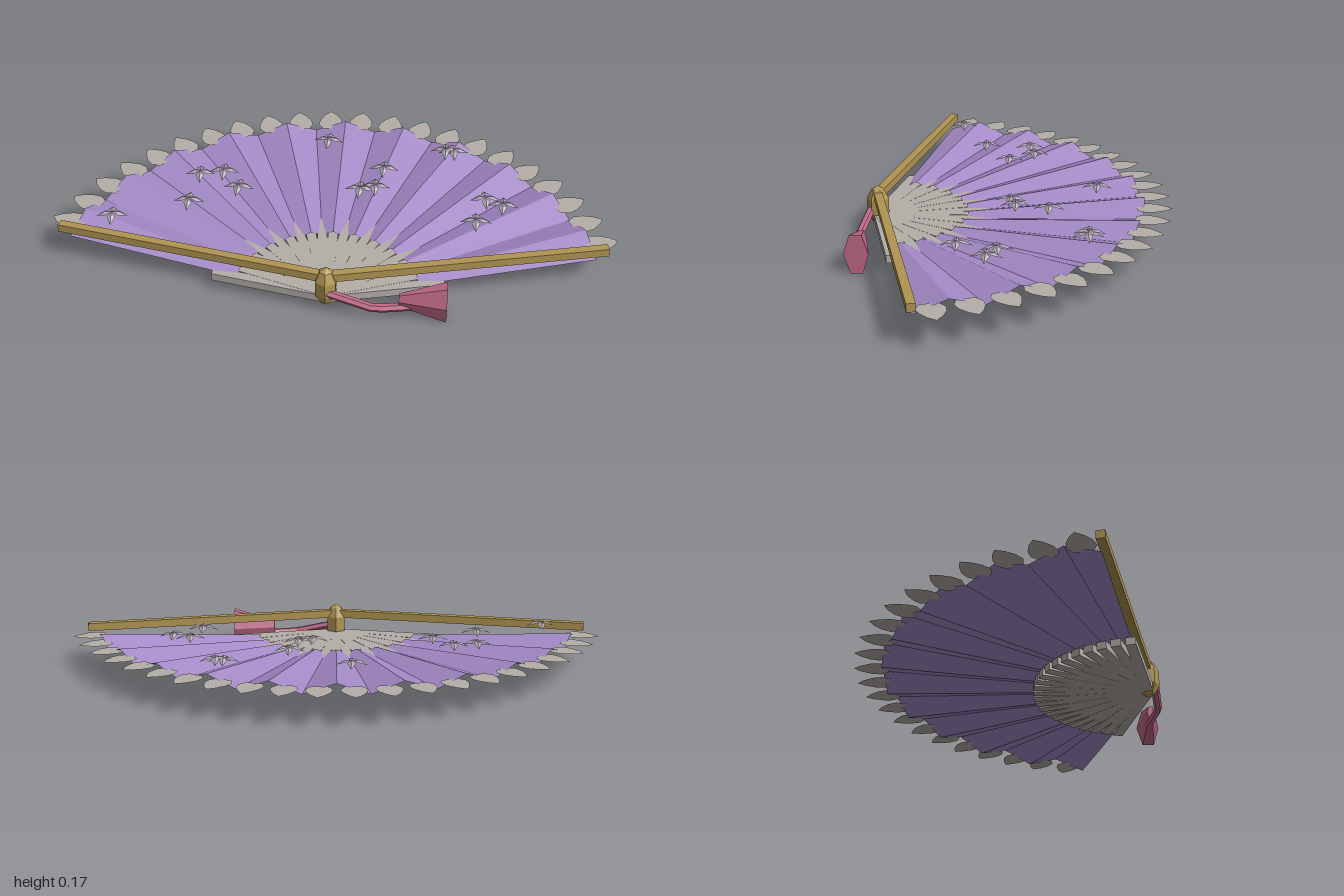
import * as THREE from 'three';

const HALF = THREE.MathUtils.degToRad(77.5); // half of the opening angle
const FOLDS = 22;
const STEP = (2 * HALF) / FOLDS;
const PIVOT_Z = 0.5;

const paint = (name, color) =>
  new THREE.MeshStandardMaterial({ name, color, flatShading: true, side: THREE.DoubleSide });

const facets = (points) => {
  const g = new THREE.BufferGeometry();
  g.setAttribute('position', new THREE.Float32BufferAttribute(points.flat(), 3));
  g.computeVertexNormals();
  return g;
};

// Pleated leaf: low folds at both ends, high and low alternating between
function leafGeometry() {
  const point = (r, i) => {
    const a = -HALF + i * STEP;
    const t = (r - 0.33) / 0.64;
    const low = 0.06 + 0.034 * t;
    const rise = i % 2 ? 0.013 + 0.027 * t : 0;
    return [r * Math.sin(a), low + rise, -r * Math.cos(a)];
  };
  const tris = [];
  for (let i = 0; i < FOLDS; i++) {
    const a = point(0.33, i), b = point(0.33, i + 1);
    const c = point(0.97, i + 1), d = point(0.97, i);
    tris.push(...a, ...b, ...c, ...a, ...c, ...d);
  }
  return facets(tris);
}

// Flat pointed scallop for the rim
function scallopGeometry() {
  const side = [[0.03, 0.945], [0.048, 0.975], [0.043, 1.01], [0.024, 1.045]];
  const outline = [...side, [0, 1.07], ...side.map(([x, y]) => [-x, y]).reverse()];
  const shape = new THREE.Shape(outline.map(([x, y]) => new THREE.Vector2(x, y)));
  return new THREE.ShapeGeometry(shape).rotateX(-Math.PI / 2);
}

// Four drooping creased petals
function flowerGeometry() {
  const tris = [];
  for (let k = 0; k < 4; k++) {
    const turn = (u, y, v) => {
      const a = (k * Math.PI) / 2;
      return [u * Math.cos(a) + v * Math.sin(a), y, -u * Math.sin(a) + v * Math.cos(a)];
    };
    const centre = turn(0, 0.018, 0), tip = turn(0.056, 0, 0);
    const left = turn(0.022, 0.013, -0.015), right = turn(0.022, 0.013, 0.015);
    const mid = turn(0.026, 0.018, 0);
    tris.push(...centre, ...right, ...mid, ...right, ...tip, ...mid);
    tris.push(...centre, ...mid, ...left, ...left, ...mid, ...tip);
  }
  return facets(tris);
}

export function createModel() {
  const model = new THREE.Group();
  model.name = 'foldingFan';
  const lilac = paint('lilac', 0xa58bc8);
  const ivory = paint('ivory', 0xb4aea8);
  const silver = paint('silver', 0xaca5ae);
  const gold = paint('gold', 0xb09552);
  const pink = paint('pink', 0xc06a88);

  const add = (parent, name, geometry, material) => {
    const mesh = new THREE.Mesh(geometry, material);
    mesh.name = name;
    parent.add(mesh);
    return mesh;
  };

  // Spread part, slightly narrower in x than a true circle
  const spread = new THREE.Group();
  spread.name = 'spread';
  spread.position.z = PIVOT_Z;
  spread.scale.x = 0.967;
  model.add(spread);
  add(spread, 'leaf', leafGeometry(), lilac);

  // One stick below every fold
  const stick = new THREE.BoxGeometry(0.036, 0.028, 0.42).translate(0, 0, -0.21);
  for (let i = 0; i <= FOLDS; i++) {
    const mesh = add(spread, 'stick', stick, ivory);
    mesh.rotation.y = HALF - i * STEP;
    mesh.position.y = 0.051 + (i % 2) * 0.0006;
  }

  // One scallop on every pleat
  const scallop = scallopGeometry();
  for (let i = 0; i < FOLDS; i++) {
    const mesh = add(spread, 'scallop', scallop, ivory);
    mesh.rotation.y = HALF - (i + 0.5) * STEP;
    mesh.position.y = 0.115;
  }

  // Guard sticks
  for (const s of [-1, 1]) {
    const guard = add(model, 'guard',
      new THREE.BoxGeometry(0.975, 0.029, 0.03).translate(0.4875, 0, 0), gold);
    guard.position.set(0, 0.134, PIVOT_Z);
    guard.rotation.y = s > 0 ? 0.222 : Math.PI - 0.222;
  }

  // Pivot bead
  const bead = [[0, 0.02], [0.022, 0.032], [0.04, 0.068], [0.04, 0.122], [0.022, 0.158], [0, 0.17]];
  add(model, 'pivot', new THREE.LatheGeometry(bead.map(([x, y]) => new THREE.Vector2(x, y)), 6), gold)
    .position.z = PIVOT_Z;

  // Flowers floating just above the leaf
  const flower = flowerGeometry();
  const spots = [
    [-0.053, -0.3], [0.39, -0.26], [0.42, -0.255], [0.166, -0.125], [-0.42, -0.065],
    [-0.505, -0.045], [-0.353, 0.03], [-0.52, 0.127], [-0.775, 0.233], [0.085, 0.013],
    [0.138, -0.006], [0.535, 0.045], [0.597, 0.077], [0.5, 0.18],
  ];
  spots.forEach(([x, z], i) => {
    const mesh = add(model, 'flower', flower, silver);
    mesh.position.set(x, 0.148, z);
    mesh.rotation.y = ((i % 3) - 1) * 0.08;
  });

  // Cord and tassel
  const knots = [[0, 0.085, 0.522], [0.165, 0.046, 0.548], [0.31, 0.045, 0.522]]
    .map((p) => new THREE.Vector3(...p));
  const cord = new THREE.CurvePath();
  cord.add(new THREE.LineCurve3(knots[0], knots[1]));
  cord.add(new THREE.LineCurve3(knots[1], knots[2]));
  add(model, 'cord', new THREE.TubeGeometry(cord, 8, 0.015, 6), pink);
  const tassel = add(model, 'tassel',
    new THREE.CylinderGeometry(0.026, 0.081, 0.16, 6).rotateZ(Math.PI / 2), pink);
  tassel.scale.z = 0.53;
  tassel.position.set(0.326, 0.071, 0.527);

  return model;
}
